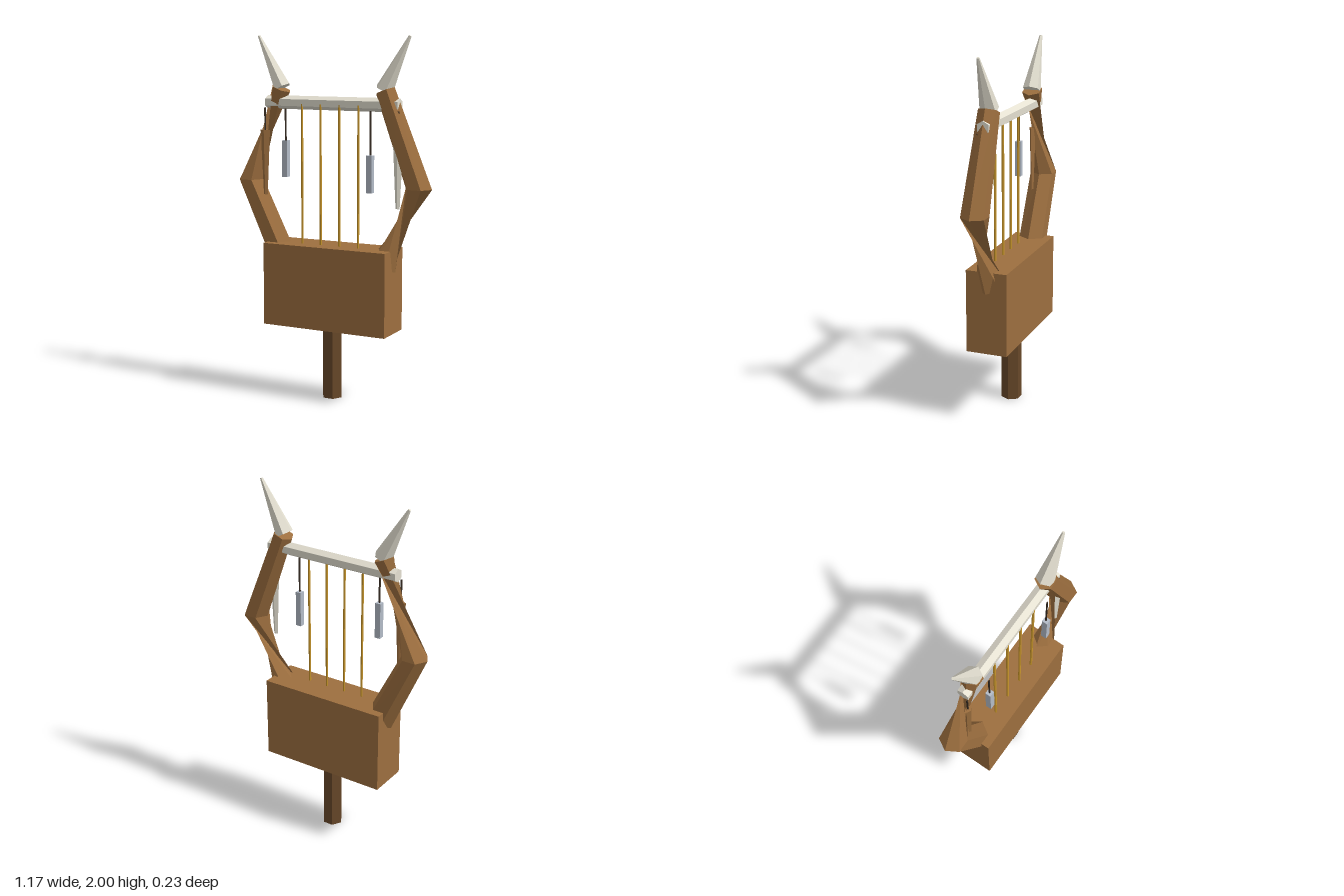
import * as THREE from 'three';

const mat = (name, color) => {
  const m = new THREE.MeshStandardMaterial({ color });
  m.name = name;
  return m;
};

// Faceted loft through points in the xy plane. Each station: [x, y, z, radius, flip].
// A flipped station is turned half round, which twists the span beside it.
function loft(stations, sides = 6) {
  const pts = stations.map(s => new THREE.Vector3(s[0], s[1], s[2]));
  const rings = stations.map((s, k) => {
    const t = pts[Math.min(k + 1, pts.length - 1)].clone().sub(pts[Math.max(k - 1, 0)]).normalize();
    const u = new THREE.Vector3(t.y, -t.x, 0).normalize();
    const v = t.clone().cross(u);
    return Array.from({ length: sides }, (_, i) => {
      const a = (i / sides) * Math.PI * 2 + (s[4] ? Math.PI : 0);
      return pts[k].clone().addScaledVector(u, s[3] * Math.cos(a)).addScaledVector(v, s[3] * Math.sin(a));
    });
  });
  const tris = [];
  const last = rings.length - 1;
  for (let i = 0; i < sides; i++) {
    const n = (i + 1) % sides;
    for (let k = 0; k < last; k++) {
      const a = rings[k], b = rings[k + 1];
      tris.push(a[i], a[n], b[n], a[i], b[n], b[i]);
    }
    tris.push(pts[0], rings[0][n], rings[0][i], pts[last], rings[last][i], rings[last][n]);
  }
  const g = new THREE.BufferGeometry().setFromPoints(tris);
  g.computeVertexNormals();
  return g;
}

export function createModel() {
  const wood = mat('brown wood', 0x9d6f3f);
  const darkWood = mat('dark wood', 0x684829);
  const bone = mat('pale bone', 0xe4e0d1);
  const metal = mat('grey metal', 0xb4bcc8);
  const gold = mat('gold string', 0xc8962c);
  const cord = mat('dark cord', 0x3a2f25);
  // The twisted spans turn inside out at the waist
  wood.side = THREE.DoubleSide;

  const group = new THREE.Group();
  const add = (name, geometry, material) => {
    const mesh = new THREE.Mesh(geometry, material);
    mesh.name = name;
    group.add(mesh);
    return mesh;
  };

  // Handle and sound box
  add('handle', loft([[0, 0, 0, 0.057], [0, 0.41, 0, 0.057]]), darkWood);
  add('soundBox', new THREE.BoxGeometry(0.74, 0.46, 0.23), wood).position.y = 0.63;

  // Bent arms, each with one twisted span, and the horns on top
  for (const s of [1, -1]) {
    const side = s > 0 ? 'left' : 'right';
    add(side + 'Arm', loft([
      [s * 0.308, 0.775, 0, 0.08, s > 0],
      [s * 0.512, 1.2, 0, 0.075, false],
      [s * 0.315, 1.71, 0, 0.057, s < 0],
    ]), wood);
    add(side + 'Horn', loft([[s * 0.31, 1.715, 0, 0.051], [s * 0.454, 1.996, 0, 0.008]]), bone);
  }

  // Crossbar
  add('crossbar', loft([[-0.4, 1.635, 0, 0.037], [0.4, 1.635, 0, 0.037]]), bone);

  // Strings
  for (let i = 0; i < 4; i++) {
    const x = -0.171 + i * 0.114;
    add('string' + (i + 1), loft([[x, 0.85, 0.027, 0.007], [x, 1.63, 0.027, 0.007]]), gold);
  }

  // Hanging chimes on cords
  for (const [x, top] of [[-0.257, 1.43], [0.255, 1.37]]) {
    add('chimeCord', loft([[x, top, 0.056, 0.006], [x, 1.605, 0.056, 0.006]], 3), cord);
    add('chime', new THREE.BoxGeometry(0.032, 0.2, 0.032), metal).position.set(x, top - 0.1, 0.056);
  }

  // Tapered pendants beside the arms
  for (const [x, top, m] of [[-0.403, 1.48, wood], [0.403, 1.45, bone]]) {
    add('pendantCord', loft([[x, top, 0.028, 0.006], [x, 1.605, 0.028, 0.006]], 3), cord);
    const blade = add('pendant', loft([[0, -0.36, 0, 0.012], [0, 0, 0, 0.03]], 4), m);
    blade.scale.z = 0.6;
    blade.position.set(x, top, 0.028);
  }

  return group;
}
